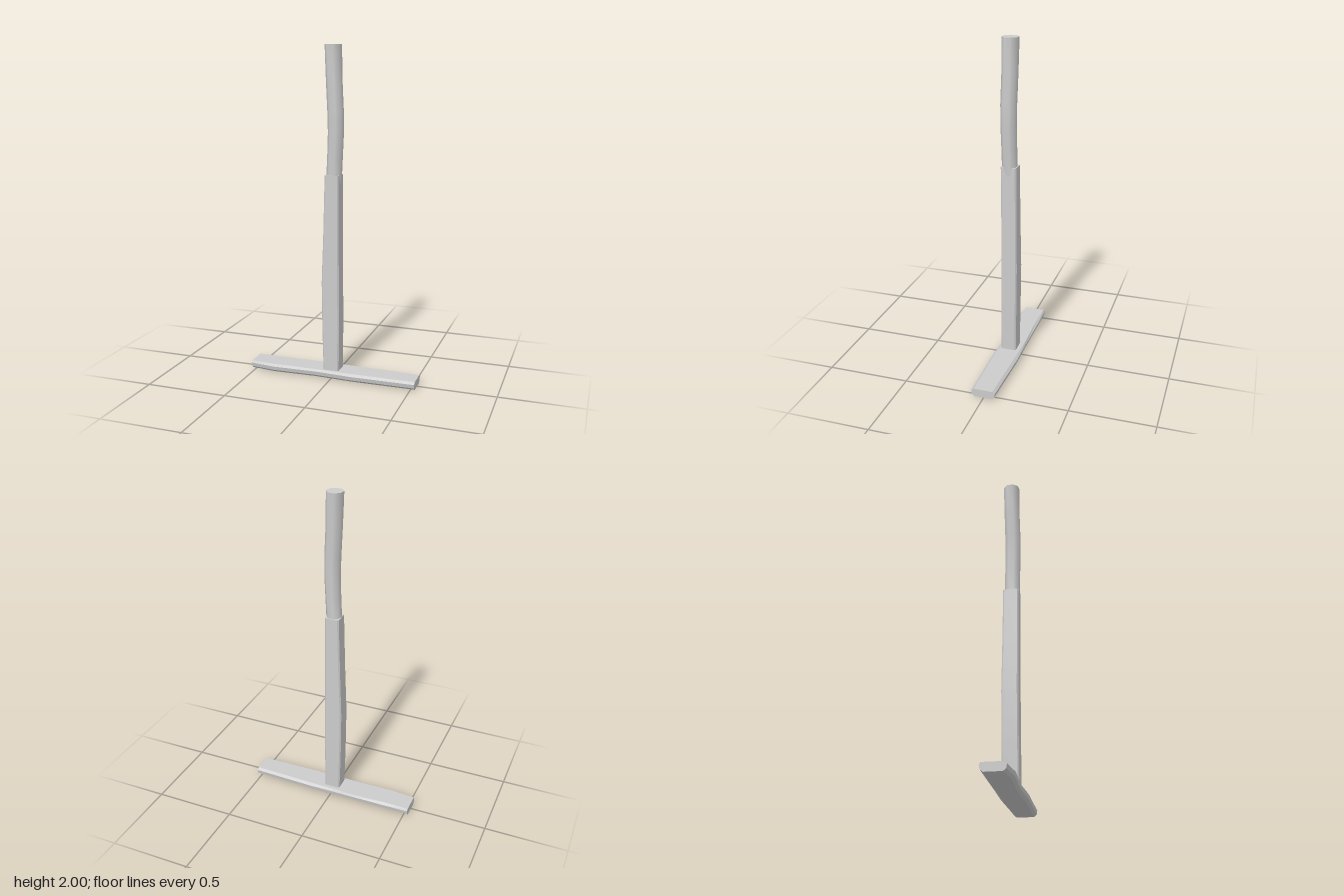
import * as THREE from 'three';
import { toCreasedNormals } from 'three/addons/utils/BufferGeometryUtils.js';

const material = new THREE.MeshStandardMaterial({ color: 0xcccccc });

// Skin equal-length rings (counterclockwise seen from the far end) and cap both ends.
function loft(name, rings, crease) {
  const n = rings[0].length;
  const index = [];
  for (let i = 0; i < rings.length - 1; i++) {
    for (let j = 0; j < n; j++) {
      const a = i * n + j, b = i * n + (j + 1) % n;
      index.push(a, b, a + n, b, b + n, a + n);
    }
  }
  const last = (rings.length - 1) * n;
  for (let j = 1; j < n - 1; j++) {
    index.push(0, j + 1, j, last, last + j, last + j + 1);
  }
  const geometry = new THREE.BufferGeometry();
  geometry.setAttribute('position', new THREE.Float32BufferAttribute(rings.flat(2), 3));
  geometry.setIndex(index);
  const mesh = new THREE.Mesh(toCreasedNormals(geometry, crease), material);
  mesh.name = name;
  return mesh;
}

// Square post section with small chamfers, from x and z limits.
function squareRing([y, x0, x1, z0, z1]) {
  const c = 0.008;
  return [
    [x1, y, z1 - c], [x1, y, z0 + c], [x1 - c, y, z0], [x0 + c, y, z0],
    [x0, y, z0 + c], [x0, y, z1 - c], [x0 + c, y, z1], [x1 - c, y, z1],
  ];
}

// Octagonal grip section.
function roundRing([y, x, z, r]) {
  return Array.from({ length: 8 }, (_, k) => {
    const a = (k + 0.35) * Math.PI / 4;
    return [x + r * Math.cos(a), y, z - r * Math.sin(a)];
  });
}

// Plank section with worn, bevelled long edges.
function plankRing([x, back, front, bevel]) {
  return [
    [x, 0.05, back + bevel], [x, 0.05, front - bevel], [x, 0.037, front],
    [x, 0.014, front - 0.004], [x, 0, front - 0.02],
    [x, 0, back + 0.02], [x, 0.014, back + 0.004], [x, 0.037, back],
  ];
}

export function createModel() {
  const group = new THREE.Group();
  group.name = 'woodenStand';

  // Foot plank: x, back edge, front edge, top bevel
  group.add(loft('footPlank', [
    [-0.525, -0.08, 0.06, 0.008],
    [-0.37, -0.081, 0.079, 0.015],
    [-0.1, -0.081, 0.069, 0.008],
    [0.13, -0.083, 0.081, 0.016],
    [0.38, -0.074, 0.077, 0.015],
    [0.525, -0.07, 0.075, 0.016],
  ].map(plankRing), 0.25));

  // Squared lower post: y, x limits, z limits
  group.add(loft('lowerPost', [
    [0.04, -0.052, 0.045, -0.046, 0.05],
    [0.3, -0.06, 0.047, -0.048, 0.049],
    [0.6, -0.064, 0.045, -0.05, 0.048],
    [0.9, -0.053, 0.043, -0.047, 0.048],
    [1.25, -0.043, 0.043, -0.045, 0.05],
  ].map(squareRing), 0.3));

  // Rounded, slightly bent upper post: y, centre x, centre z, radius
  group.add(loft('upperPost', [
    [1.2, 0.001, 0.004, 0.046],
    [1.36, 0.009, 0.006, 0.046],
    [1.5, 0.015, 0.008, 0.047],
    [1.62, 0.013, 0.008, 0.048],
    [1.8, 0.003, 0.004, 0.048],
    [2, -0.003, 0.002, 0.05],
  ].map(roundRing), 0.9));

  return group;
}
